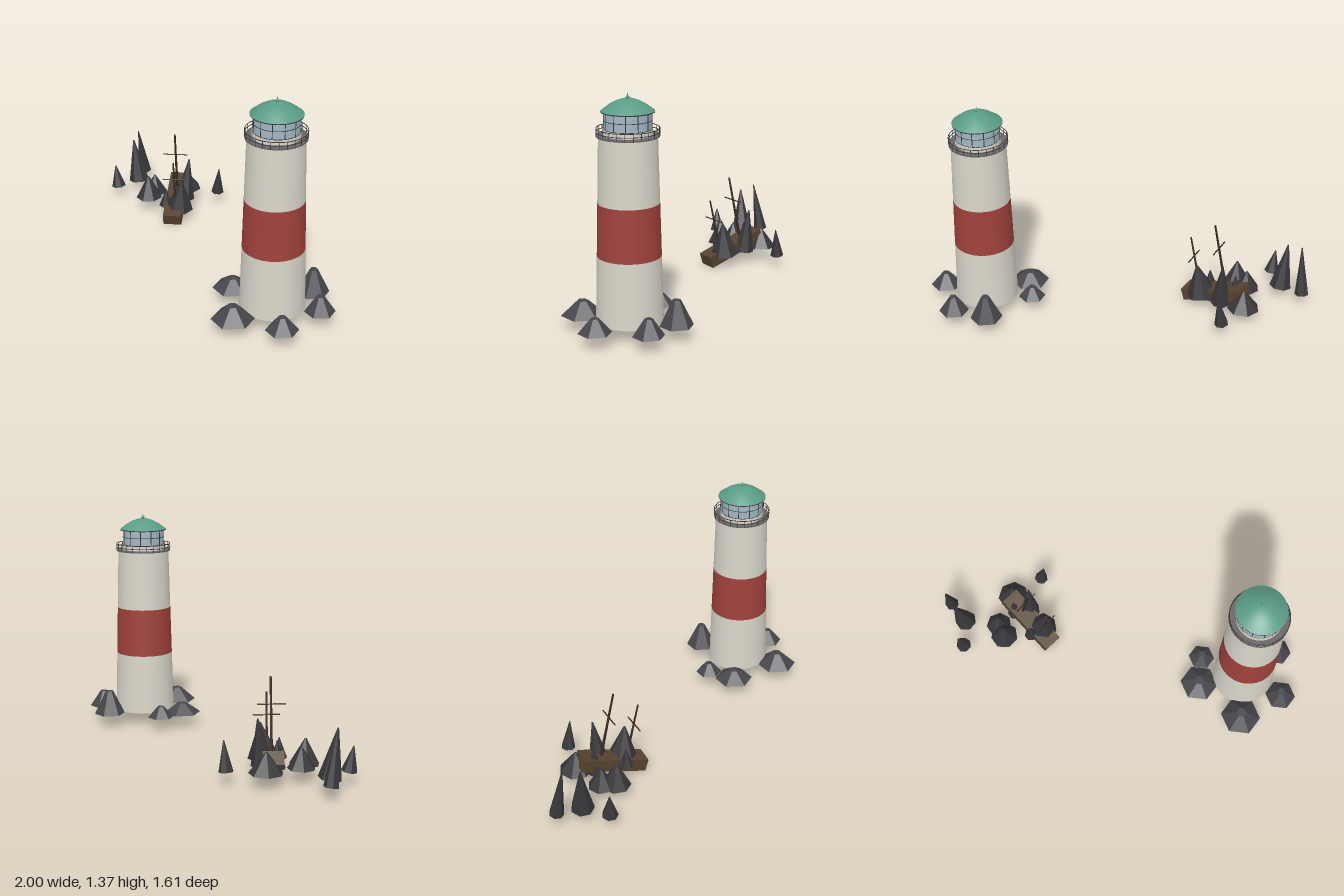
import * as THREE from 'three';

const mat = (color, opts = {}) => new THREE.MeshStandardMaterial({ color, ...opts });
const MATS = {
  wall: mat(0xd9d6ca),
  red: mat(0xa0423b),
  roof: mat(0x5a9c86, { side: THREE.DoubleSide }),
  glass: mat(0xa3b8c4),
  metal: mat(0x38383a),
  deck: mat(0x6a6668),
  stone: mat(0x46464c, { flatShading: true }),
  reef: mat(0x37373b, { flatShading: true }),
  wood: mat(0x57422f, { flatShading: true }),
  spar: mat(0x3a2b20),
};

function add(parent, name, geometry, material, x = 0, y = 0, z = 0) {
  const mesh = new THREE.Mesh(geometry, material);
  mesh.name = name;
  mesh.position.set(x, y, z);
  parent.add(mesh);
  return mesh;
}

// Round or faceted bar from point a to point b
function bar(parent, name, a, b, r0, r1, sides, material) {
  const from = new THREE.Vector3(...a), to = new THREE.Vector3(...b);
  const dir = to.clone().sub(from);
  const mesh = add(parent, name, new THREE.CylinderGeometry(r1, r0, dir.length(), sides), material);
  mesh.position.copy(from).add(to).multiplyScalar(0.5);
  mesh.quaternion.setFromUnitVectors(new THREE.Vector3(0, 1, 0), dir.normalize());
  return mesh;
}

function ring(parent, name, radius, thickness, y) {
  const mesh = add(parent, name, new THREE.TorusGeometry(radius, thickness, 6, 48), MATS.metal, 0, y, 0);
  mesh.rotation.x = Math.PI / 2;
}

function buildLighthouse() {
  const g = new THREE.Group();
  g.name = 'lighthouse';
  g.position.set(0.643, 0, 0.425);

  // Tapered tower in three painted bands
  const levels = [0.08, 0.458, 0.759, 1.13];
  const radiusAt = (y) => 0.19 - ((y - 0.08) / 1.05) * 0.028;
  ['lowerTower', 'redBand', 'upperTower'].forEach((name, i) => {
    const [y0, y1] = [levels[i], levels[i + 1]];
    const geo = new THREE.CylinderGeometry(radiusAt(y1), radiusAt(y0), y1 - y0, 40);
    add(g, name, geo, i === 1 ? MATS.red : MATS.wall, 0, (y0 + y1) / 2, 0);
  });

  // Gallery deck and railing
  add(g, 'galleryDeck', new THREE.CylinderGeometry(0.174, 0.174, 0.008, 40), MATS.deck, 0, 1.132, 0);
  for (const y of [1.153, 1.173]) ring(g, 'galleryRail', 0.173, 0.0022, y);
  for (let i = 0; i < 24; i++) {
    const a = (i / 24) * Math.PI * 2;
    const x = Math.sin(a) * 0.173, z = Math.cos(a) * 0.173;
    bar(g, 'railPost', [x, 1.13, z], [x, 1.173, z], 0.002, 0.002, 5, MATS.metal);
  }

  // Lantern room with glazing bars
  add(g, 'lanternBase', new THREE.CylinderGeometry(0.134, 0.134, 0.035, 40), MATS.wall, 0, 1.15, 0);
  add(g, 'lanternGlass', new THREE.CylinderGeometry(0.131, 0.131, 0.105, 40), MATS.glass, 0, 1.217, 0);
  for (const y of [1.169, 1.217, 1.262]) ring(g, 'glazingRing', 0.131, 0.002, y);
  for (let i = 0; i < 12; i++) {
    const a = ((i + 0.5) / 12) * Math.PI * 2;
    const x = Math.sin(a) * 0.131, z = Math.cos(a) * 0.131;
    bar(g, 'glazingBar', [x, 1.165, z], [x, 1.265, z], 0.0025, 0.0025, 5, MATS.metal);
  }

  // Domed roof with finial
  add(g, 'roofEave', new THREE.CylinderGeometry(0.147, 0.147, 0.006, 40), MATS.metal, 0, 1.264, 0);
  const profile = [[0.148, 1.267], [0.125, 1.284], [0.097, 1.304], [0.065, 1.321], [0.033, 1.332], [0, 1.335]]
    .map(([x, y]) => new THREE.Vector2(x, y));
  add(g, 'roof', new THREE.LatheGeometry(profile, 40), MATS.roof);
  add(g, 'finialBall', new THREE.SphereGeometry(0.01, 12, 8), MATS.roof, 0, 1.342, 0);
  bar(g, 'finialSpike', [0, 1.335, 0], [0, 1.368, 0], 0.003, 0.001, 6, MATS.roof);
  return g;
}

// Blunt six-sided boulders round the tower foot: x, z, radius, top height
const BOULDERS = [
  [0.36, 0.37, 0.12, 0.145], [0.447, 0.214, 0.083, 0.15], [0.795, 0.19, 0.097, 0.23],
  [0.917, 0.37, 0.091, 0.18], [0.81, 0.647, 0.096, 0.163], [0.516, 0.674, 0.126, 0.165],
];

// Leaning reef spikes: base x, base z, radius, tip x, tip y, tip z
const SPIKES = [
  [-0.925, -0.768, 0.044, -0.943, 0.392, -0.72],
  [-0.882, -0.62, 0.069, -0.922, 0.367, -0.622],
  [-0.953, -0.465, 0.048, -0.975, 0.225, -0.465],
  [-0.313, -0.71, 0.043, -0.292, 0.255, -0.692],
  [-0.53, -0.662, 0.1, -0.53, 0.2, -0.66],
  [-0.69, -0.51, 0.082, -0.69, 0.2, -0.51],
  [-0.685, -0.425, 0.088, -0.688, 0.228, -0.42],
  [-0.465, -0.525, 0.066, -0.445, 0.354, -0.553],
  [-0.43, -0.385, 0.094, -0.4, 0.28, -0.365],
  [-0.56, -0.55, 0.05, -0.56, 0.24, -0.55],
  [-0.522, -0.362, 0.042, -0.515, 0.2, -0.362],
];

function buildWreck() {
  const g = new THREE.Group();
  g.name = 'shipwreck';

  // Hull pitched down towards its near end
  const far = new THREE.Vector3(-0.56, 0.2, -0.625), near = new THREE.Vector3(-0.41, 0.073, -0.25);
  const hull = new THREE.Group();
  hull.name = 'hull';
  hull.position.copy(far).add(near).multiplyScalar(0.5);
  hull.lookAt(near);
  add(hull, 'hullBody', new THREE.BoxGeometry(0.12, 0.077, far.distanceTo(near)), MATS.wood, 0, -0.0385, 0);
  g.add(hull);

  // Masts with their cross yards
  bar(g, 'mainMast', [-0.517, 0.12, -0.517], [-0.48, 0.573, -0.425], 0.009, 0.006, 8, MATS.spar);
  bar(g, 'mainYard', [-0.57, 0.418, -0.42], [-0.42, 0.418, -0.488], 0.004, 0.004, 6, MATS.spar);
  bar(g, 'foreMast', [-0.442, 0.08, -0.36], [-0.413, 0.442, -0.283], 0.008, 0.005, 8, MATS.spar);
  bar(g, 'foreYard', [-0.492, 0.312, -0.275], [-0.35, 0.312, -0.342], 0.004, 0.004, 6, MATS.spar);
  return g;
}

export function createModel() {
  const model = new THREE.Group();
  model.name = 'lighthouseScene';
  model.add(buildLighthouse(), buildWreck());

  for (const [x, z, r, top] of BOULDERS) {
    add(model, 'boulder', new THREE.CylinderGeometry(r * 0.25, r, top - 0.08, 6), MATS.stone, x, (top + 0.08) / 2, z);
  }
  for (const [x, z, r, tx, ty, tz] of SPIKES) {
    bar(model, 'reefSpike', [x, 0.078, z], [tx, ty, tz], r, r * 0.06, 7, MATS.reef);
  }
  return model;
}
